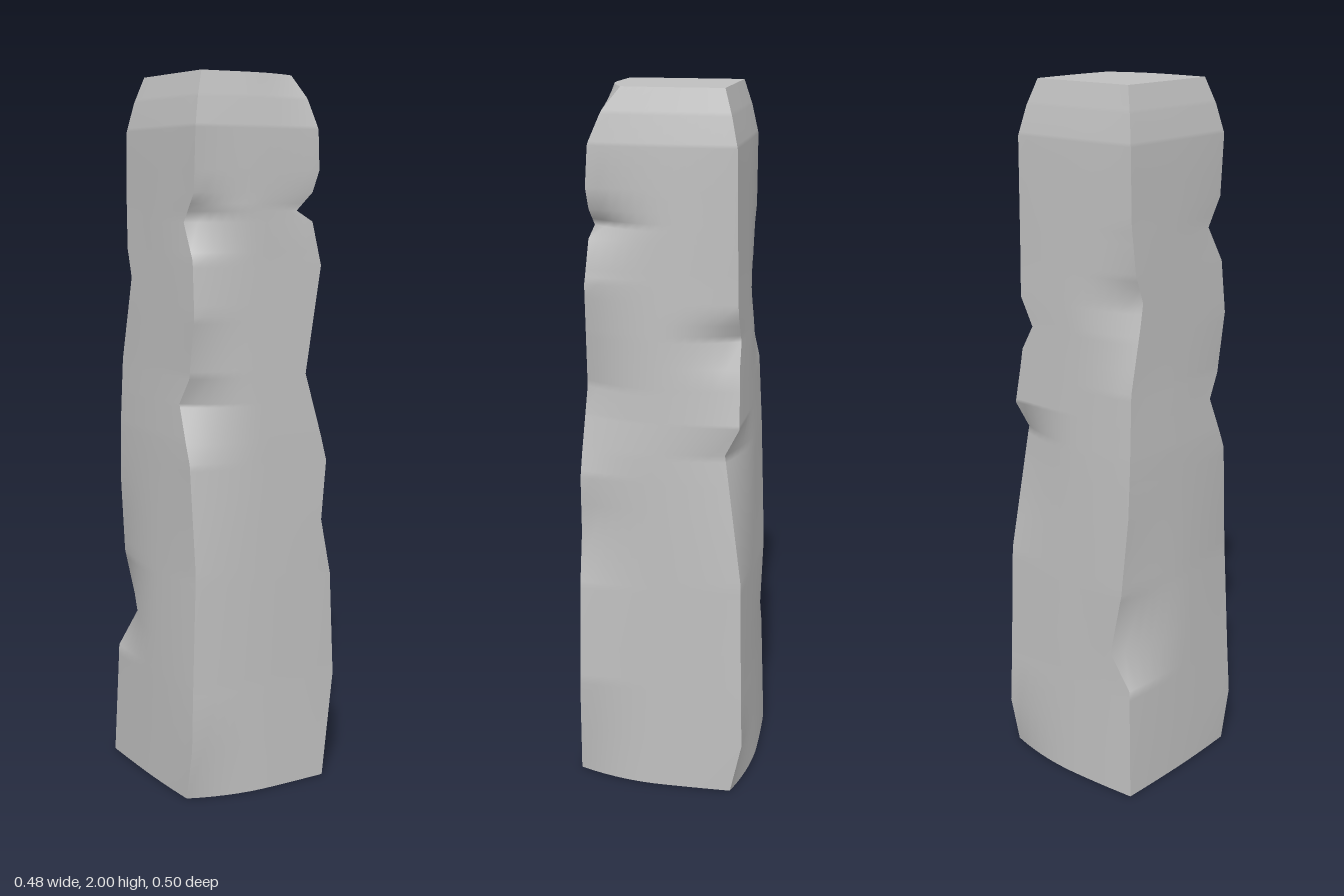
import * as THREE from 'three';

// Weathered square pillar: undamaged half width in x and z by height
const HALF = [
  [0, 0.242, 0.251], [0.3, 0.236, 0.242], [0.6, 0.23, 0.237], [1.0, 0.224, 0.228],
  [1.2, 0.215, 0.221], [1.5, 0.207, 0.211], [1.85, 0.2, 0.203], [1.93, 0.183, 0.185], [2, 0.16, 0.163],
];

// How far each vertical edge is chipped inwards: [height, along x, along z]
const CHIPS = {
  frontRight: [[0, 0.05, 0.004], [0.3, 0.002, 0.006], [0.6, 0.008, 0.004], [0.76, 0.038, 0], [0.93, 0.018, 0],
    [1.18, 0.076, 0], [1.48, 0.013, 0], [1.6, 0.035, 0.005], [1.63, 0.084, 0.01], [1.68, 0.033, 0.005],
    [1.74, 0.012, 0], [1.86, 0.009, 0.005], [1.94, 0.006, 0.02], [2, 0.006, 0.048]],
  backRight: [[0, 0.005, 0.04], [0.15, 0.002, 0.003], [0.65, 0.004, 0.004], [1.02, 0.025, 0.048],
    [1.1, 0.01, 0.004], [1.26, 0.03, 0.004], [1.33, 0.066, 0.004], [1.41, 0.02, 0.003], [1.85, 0.006, 0], [2, 0.004, 0]],
  backLeft: [[0, 0.004, 0.01], [0.33, 0.01, 0.01], [0.43, 0.075, 0.005], [0.62, 0.03, 0], [0.85, 0.01, 0.005],
    [1.2, 0.002, 0.01], [1.38, 0, 0.045], [1.44, 0, 0.055], [1.52, 0, 0.025], [1.65, 0.002, 0.01], [2, 0, 0]],
  frontLeft: [[0, 0.008, 0.05], [0.15, 0.004, 0.012], [0.65, 0.015, 0.015], [0.95, 0.005, 0.03],
    [1.11, 0.004, 0.09], [1.18, 0.008, 0.045], [1.35, 0.003, 0.01], [1.5, 0.003, 0.02], [1.6, 0.006, 0.075],
    [1.68, 0.006, 0.02], [1.85, 0.002, 0.005], [2, 0.002, 0.003]],
};
const SIGNS = { frontRight: [1, 1], backRight: [1, -1], backLeft: [-1, -1], frontLeft: [-1, 1] };

const ROWS = [...new Set([...HALF, ...Object.values(CHIPS).flat()].map((row) => row[0]))].sort((a, b) => a - b);
const COLUMNS = 12;

// Linear lookup in a table sorted by height
function sample(table, y) {
  let i = 1;
  while (i < table.length - 1 && table[i][0] < y) i++;
  const [a, b] = [table[i - 1], table[i]];
  const t = (y - a[0]) / (b[0] - a[0]);
  return [a[1] + (b[1] - a[1]) * t, a[2] + (b[2] - a[2]) * t];
}

// Point on the face between two edges; chips fade out towards its middle
function facePoint(from, to, axis, t, y) {
  const half = sample(HALF, y);
  const chipA = sample(CHIPS[from], y), chipB = sample(CHIPS[to], y);
  const other = 1 - axis;
  const fade = (s) => Math.max(0, 1 - s / 0.55) ** 2;
  const p = [0, 0];
  p[axis] = SIGNS[from][axis] * (half[axis] - chipA[axis] * fade(t) - chipB[axis] * fade(1 - t));
  const a = SIGNS[from][other] * (half[other] - chipA[other]);
  const b = SIGNS[to][other] * (half[other] - chipB[other]);
  p[other] = a + (b - a) * t;
  return [p[0], y, p[1]];
}

function gridGeometry(rows) {
  const index = [], n = rows[0].length;
  for (let r = 0; r < rows.length - 1; r++) {
    for (let c = 0; c < n - 1; c++) {
      const a = r * n + c, b = a + 1, d = a + n, e = d + 1;
      index.push(a, b, e, a, e, d);
    }
  }
  const geometry = new THREE.BufferGeometry();
  geometry.setAttribute('position', new THREE.Float32BufferAttribute(rows.flat(2), 3));
  geometry.setIndex(index);
  geometry.computeVertexNormals();
  return geometry;
}

export function createModel() {
  const group = new THREE.Group();
  group.name = 'stonePillar';
  const stone = new THREE.MeshStandardMaterial({ color: 0xbfbfbf });
  stone.name = 'grey stone';
  const add = (name, geometry) => {
    const mesh = new THREE.Mesh(geometry, stone);
    mesh.name = name;
    group.add(mesh);
  };

  // Four faces, smooth within and sharp along the chipped edges
  const faces = [
    ['frontFace', 'frontLeft', 'frontRight', 1], ['leftFace', 'frontRight', 'backRight', 0],
    ['backFace', 'backRight', 'backLeft', 1], ['rightFace', 'backLeft', 'frontLeft', 0],
  ];
  const line = ([, from, to, axis], y) =>
    Array.from({ length: COLUMNS + 1 }, (_, c) => facePoint(from, to, axis, c / COLUMNS, y));
  for (const face of faces) add(face[0], gridGeometry(ROWS.map((y) => line(face, y))));

  // Flat ends closing the outline
  for (const [name, y] of [['topEnd', 2], ['bottomEnd', 0]]) {
    const outline = faces.flatMap((face) => line(face, y));
    const centre = outline.map(() => [0, y, 0]);
    add(name, gridGeometry(y > 0 ? [outline, centre] : [centre, outline]));
  }
  return group;
}
